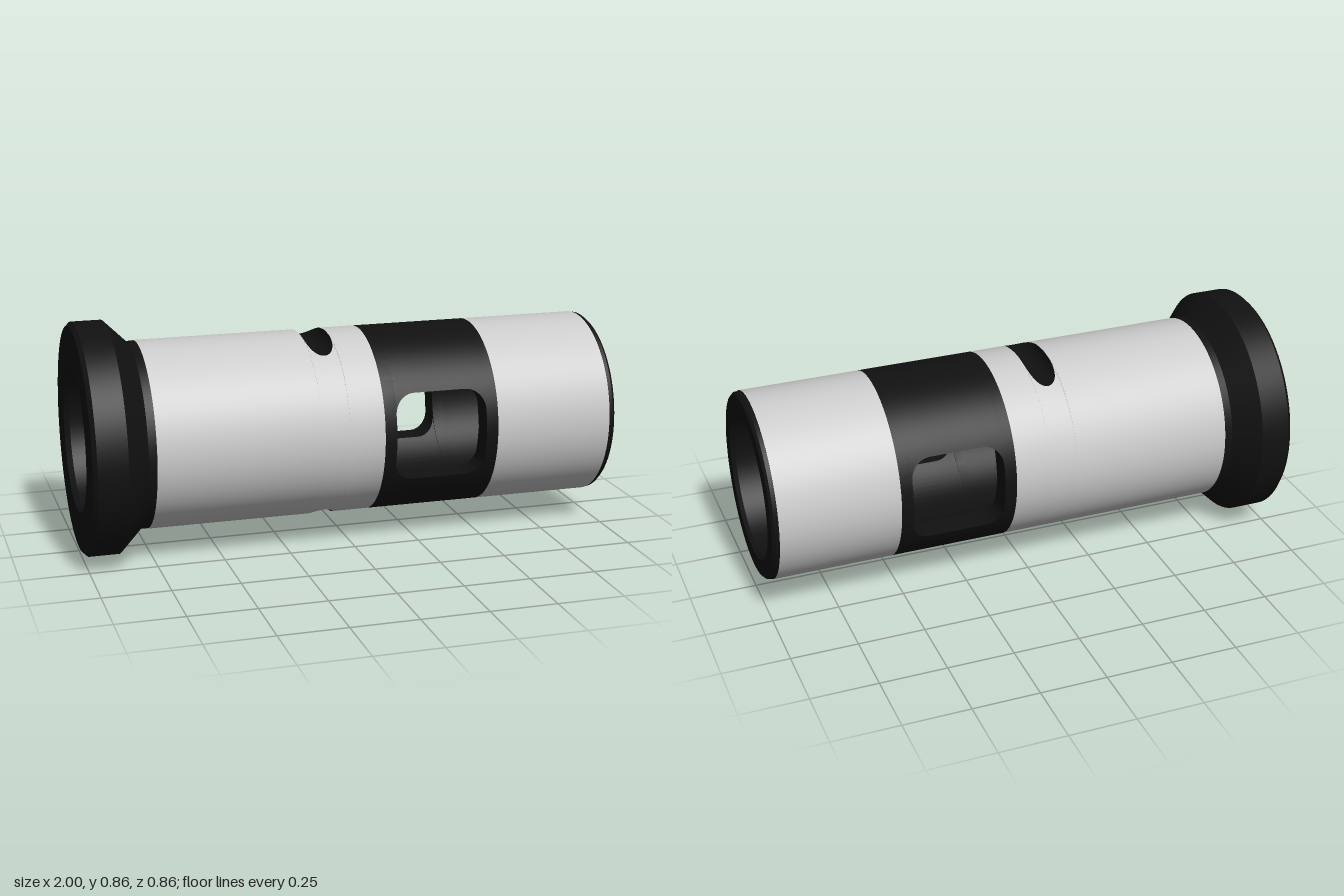
import * as THREE from 'three';
import { toCreasedNormals } from 'three/addons/utils/BufferGeometryUtils.js';

const R = 0.35;        // barrel radius
const BORE = 0.265;    // main bore radius
const AXIS_Y = 0.432;  // height of the barrel axis
const black = new THREE.MeshStandardMaterial({ color: 0x111111 });
const grey = new THREE.MeshStandardMaterial({ color: 0xcccccc });

function part(name, geometry, material) {
  const mesh = new THREE.Mesh(toCreasedNormals(geometry, 0.5), material);
  mesh.name = name;
  return mesh;
}

// Surface of revolution about x from [x, radius] pairs
function turned(name, profile, material) {
  const points = profile.map(([x, r]) => new THREE.Vector2(r, x));
  return part(name, new THREE.LatheGeometry(points, 128).rotateZ(-Math.PI / 2), material);
}

// Skin over rows of [x, y, z] points that advance along +x
function loft(rows) {
  const n = rows[0].length;
  const index = [];
  for (let i = 0; i < rows.length - 1; i++) {
    for (let j = 0; j < n - 1; j++) {
      const a = i * n + j, b = a + n;
      index.push(a, b, b + 1, a, b + 1, a + 1);
    }
  }
  const geometry = new THREE.BufferGeometry();
  geometry.setAttribute('position', new THREE.Float32BufferAttribute(rows.flat(2), 3));
  geometry.setIndex(index);
  return geometry;
}

function arc(x, r, from, to, steps) {
  return Array.from({ length: steps + 1 }, (_, j) => {
    const a = from + (to - from) * j / steps;
    return [x, r * Math.sin(a), r * Math.cos(a)];
  });
}

// Adds a geometry twice, the second turned half way round the axis
function addPair(group, name, geometry, material) {
  for (const turn of [0, Math.PI]) {
    const mesh = part(name, geometry, material);
    mesh.rotation.x = turn;
    group.add(mesh);
  }
}

export function createModel() {
  const group = new THREE.Group();
  const barrel = new THREE.Group();
  barrel.name = 'barrel';
  barrel.position.y = AXIS_Y;
  group.add(barrel);

  // Flange with chamfered rim and conical shoulder, plus the stepped bore
  barrel.add(turned('flange', [
    [0.085, BORE], [-0.58, BORE], [-0.58, 0.285], [-0.68, 0.285], [-0.68, 0.257],
    [-0.74, 0.257], [-0.74, 0.285], [-0.85, 0.285], [-0.85, 0.257], [-0.98, 0.257],
    [-1, 0.27], [-1, 0.417], [-0.985, 0.432], [-0.875, 0.432], [-0.79, R - 0.002], [-0.76, R - 0.002],
  ], black));

  // Grey sleeves
  const sx = -0.1, sr = 0.053;
  barrel.add(turned('rearSleeve', [[-0.76, R - 0.002], [-0.76, R], [sx - sr, R]], grey));
  barrel.add(turned('middleSleeve', [[sx + sr, R], [0.085, R]], grey));
  barrel.add(turned('frontSleeve', [[0.525, R], [0.975, R]], grey));

  // Front end ring and front bore
  barrel.add(turned('endRing', [
    [0.975, R], [0.975, R - 0.003], [0.99, R - 0.003], [1, 0.338], [1, 0.275], [0.985, BORE],
    [0.78, BORE], [0.78, 0.257], [0.7, 0.257], [0.7, BORE], [0.525, BORE],
  ], black));

  // Round-bottomed cross slots milled into the top and bottom of the sleeve
  const sides = [], floors = [];
  for (let i = 0; i <= 24; i++) {
    const u = Math.PI * i / 24;
    const x = sx - sr * Math.cos(u);
    const y = R - sr * Math.sin(u);
    const t = Math.asin(y / R);
    sides.push(arc(x, R, -t, t, 64));
    const z = R * Math.cos(t);
    floors.push([[x, y, z], [x, y, 0], [x, y, -z]]);
  }
  addPair(barrel, 'slottedSleeve', loft(sides), grey);
  addPair(barrel, 'slotFloor', loft(floors), black);

  // Window band: rounded rectangular openings through front and back
  const x0 = 0.13, x1 = 0.48, half = 0.165, corner = 0.075;
  const stations = [[0.085, 0], [x0, 0]];
  const rounded = [];
  for (let i = 0; i <= 10; i++) {
    const u = Math.PI / 2 * i / 10;
    rounded.push([corner * (1 - Math.cos(u)), half - corner * (1 - Math.sin(u))]);
  }
  rounded.forEach(([d, h]) => stations.push([x0 + d, h]));
  rounded.reverse().forEach(([d, h]) => stations.push([x1 - d, h]));
  stations.push([x1, 0], [0.525, 0]);
  const rows = stations.map(([x, h]) => {
    const outer = Math.asin(h / R), inner = Math.asin(h / BORE);
    const loop = [
      ...arc(x, R, outer, Math.PI - outer, 64),
      ...arc(x, BORE, Math.PI - inner, inner, 64),
    ];
    return [...loop, loop[0]];
  });
  addPair(barrel, 'windowBand', loft(rows), black);

  return group;
}
